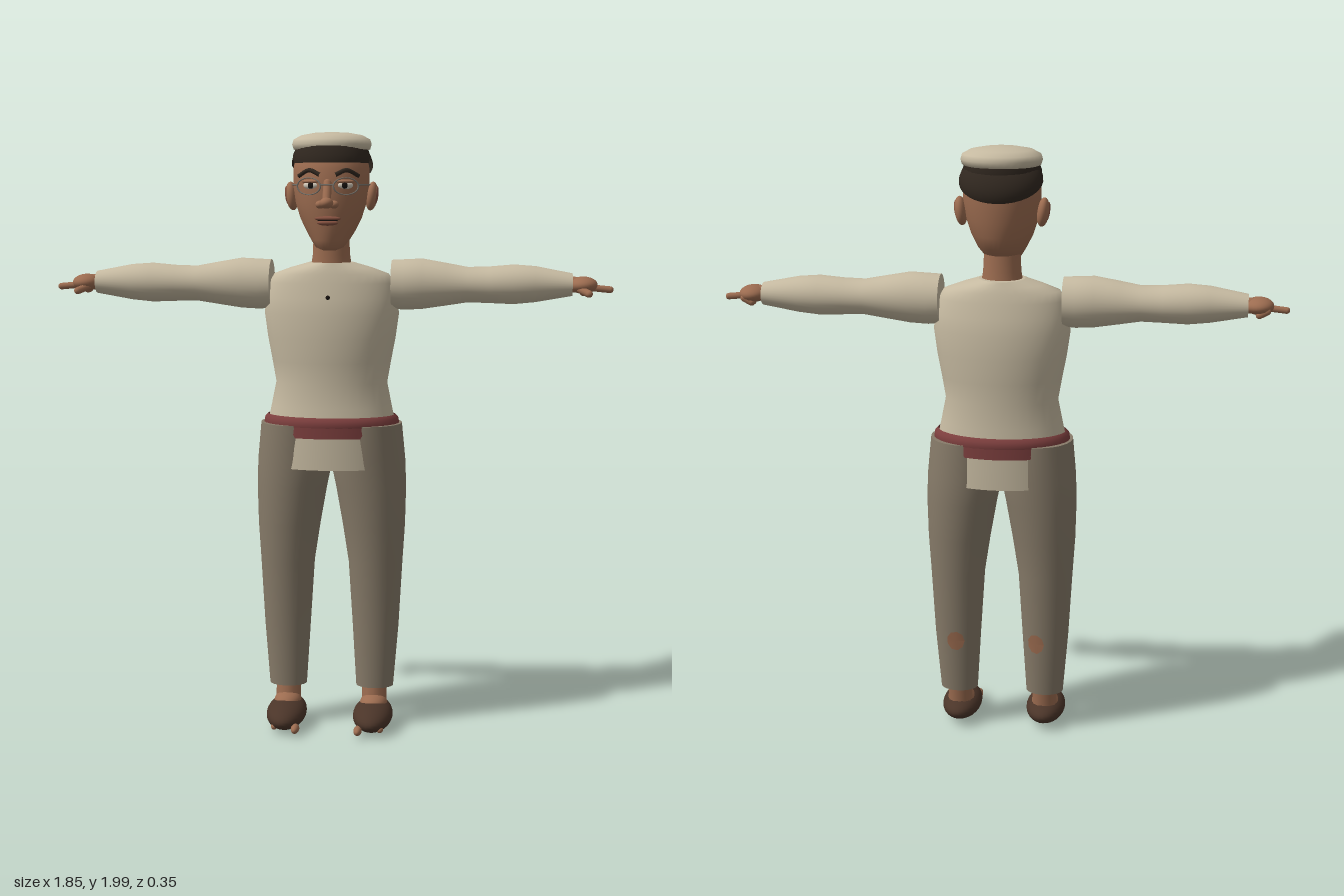
import * as THREE from 'three';

const mat = (name, color, side = THREE.FrontSide) => {
  const m = new THREE.MeshStandardMaterial({ color, side });
  m.name = name;
  return m;
};

export function createModel() {
  const root = new THREE.Group();
  root.name = 'standingMan';
  const cloth = mat('cream cloth', 0xc6baa1, THREE.DoubleSide);
  const trouser = mat('taupe trousers', 0x877b69, THREE.DoubleSide);
  const skin = mat('brown skin', 0x9c6c50);
  const hair = mat('dark hair', 0x30271f, THREE.DoubleSide);
  const red = mat('red sash', 0x7d3f3e, THREE.DoubleSide);
  const leather = mat('dark leather', 0x4b3529);
  const lip = mat('lips', 0x83503f);
  const metal = mat('grey metal', 0x77726a);
  const white = mat('eye white', 0xd2c8b8);
  const black = mat('black', 0x17120f);

  const add = (name, geo, material, pos = [0, 0, 0], rot = [0, 0, 0], parent = root) => {
    const m = new THREE.Mesh(geo, material);
    m.name = name;
    m.position.set(...pos);
    m.rotation.set(...rot);
    parent.add(m);
    return m;
  };
  const blob = (name, material, pos, r, rot) =>
    add(name, new THREE.SphereGeometry(1, 28, 20).scale(...r), material, pos, rot);
  // Rounded rod between two points
  const rod = (name, material, a, b, r) => {
    const A = new THREE.Vector3(...a), B = new THREE.Vector3(...b), d = B.clone().sub(A);
    const m = add(name, new THREE.CapsuleGeometry(r, d.length(), 6, 12), material,
      A.clone().add(B).multiplyScalar(0.5).toArray());
    m.quaternion.setFromUnitVectors(new THREE.Vector3(0, 1, 0), d.normalize());
    return m;
  };

  // Skin over elliptical rings [y, cx, cz, rx, rz], optionally with flat ends
  const N = 36;
  function loft(rings, caps = true) {
    const pos = [], idx = [];
    for (const [y, cx, cz, rx, rz] of rings)
      for (let i = 0; i < N; i++) {
        const a = (i / N) * Math.PI * 2;
        pos.push(cx + rx * Math.sin(a), y, cz + rz * Math.cos(a));
      }
    for (let j = 0; j < rings.length - 1; j++)
      for (let i = 0; i < N; i++) {
        const a = j * N + i, b = j * N + ((i + 1) % N);
        idx.push(a, b, b + N, a, b + N, a + N);
      }
    if (caps) [0, rings.length - 1].forEach((j) => {
      const [y, cx, cz] = rings[j], base = pos.length / 3;
      pos.push(cx, y, cz);
      for (let i = 0; i < N; i++) pos.push(...pos.slice((j * N + i) * 3, (j * N + i) * 3 + 3));
      for (let i = 0; i < N; i++) {
        const a = base + 1 + i, b = base + 1 + ((i + 1) % N);
        idx.push(base, j ? a : b, j ? b : a);
      }
    });
    const g = new THREE.BufferGeometry();
    g.setAttribute('position', new THREE.Float32BufferAttribute(pos, 3));
    g.setIndex(idx);
    g.computeVertexNormals();
    return g;
  }

  // Head and neck
  add('head', loft([
    [1.618, 0, 0.045, 0.02, 0.02], [1.628, 0, 0.035, 0.045, 0.045], [1.65, 0, 0.01, 0.062, 0.078],
    [1.68, 0, -0.008, 0.08, 0.104], [1.72, 0, -0.012, 0.1, 0.114], [1.77, 0, -0.014, 0.116, 0.123],
    [1.83, 0, -0.017, 0.125, 0.124], [1.88, 0, -0.02, 0.125, 0.121], [1.92, 0, -0.025, 0.118, 0.112],
    [1.955, 0, -0.03, 0.095, 0.085], [1.97, 0, -0.03, 0.05, 0.045],
  ]), skin);
  add('neck', loft([[1.55, 0, -0.022, 0.07, 0.062], [1.6, 0, -0.02, 0.062, 0.056],
    [1.68, 0, -0.018, 0.058, 0.056]]), skin);
  add('hair', new THREE.SphereGeometry(1, 32, 16, 0, Math.PI * 2, 0, Math.PI / 2)
    .scale(0.134, 0.085, 0.122), hair, [0, 1.893, -0.05], [-0.5, 0, 0]);
  add('forelock', loft([[1.9, 0, -0.022, 0.123, 0.117], [1.925, 0, -0.025, 0.127, 0.12],
    [1.955, 0, -0.03, 0.115, 0.11]], false), hair);
  add('cap', loft([[1.937, 0, -0.035, 0.11, 0.1], [1.944, 0, -0.035, 0.126, 0.112],
    [1.96, 0, -0.035, 0.131, 0.116], [1.976, 0, -0.035, 0.126, 0.112],
    [1.99, 0, -0.035, 0.1, 0.09], [1.998, 0, -0.035, 0.055, 0.05], [2, 0, -0.035, 0.01, 0.01]]), cloth);

  // Nose and mouth
  rod('noseBridge', skin, [0, 1.835, 0.1], [0, 1.78, 0.132], 0.014);
  blob('noseTip', skin, [0, 1.772, 0.134], [0.022, 0.018, 0.027]);
  blob('upperLip', lip, [0, 1.722, 0.1], [0.043, 0.008, 0.014]);
  blob('lowerLip', lip, [0, 1.708, 0.1], [0.034, 0.009, 0.013]);
  blob('mouthLine', black, [0, 1.716, 0.102], [0.036, 0.002, 0.012]);
  rod('glassesBridge', metal, [-0.022, 1.83, 0.123], [0.022, 1.83, 0.123], 0.0025);

  // Torso
  const torso = [
    [1.04, 0, -0.025, 0.215, 0.135], [1.1, 0, -0.027, 0.202, 0.126], [1.18, 0, -0.029, 0.186, 0.12],
    [1.25, 0, -0.028, 0.198, 0.125], [1.33, 0, -0.028, 0.213, 0.128], [1.41, 0, -0.027, 0.224, 0.125],
    [1.46, 0, -0.026, 0.218, 0.116], [1.51, 0, -0.025, 0.208, 0.104], [1.54, 0, -0.024, 0.19, 0.096],
    [1.56, 0, -0.023, 0.135, 0.088], [1.577, 0, -0.022, 0.075, 0.08],
  ];
  add('shirt', loft(torso), cloth);
  blob('button', black, [0, 1.467, 0.095], [0.007, 0.007, 0.007]);

  // Sash around the waist
  add('sash', loft([[1.032, 0, -0.026, 0.222, 0.14], [1.042, 0, -0.026, 0.227, 0.147],
    [1.062, 0, -0.026, 0.224, 0.145], [1.073, 0, -0.026, 0.213, 0.134]], false), red);
  // Curved panel hanging from the waist, front (s = 1) or back (s = -1)
  const panel = (name, material, s, wTop, wBottom, yTop, yBottom, depth) => {
    const g = new THREE.PlaneGeometry(2, 1, 16, 2), p = g.attributes.position;
    for (let i = 0; i < p.count; i++) {
      const t = 0.5 - p.getY(i);
      const x = p.getX(i) * THREE.MathUtils.lerp(wTop, wBottom, t);
      p.setXYZ(i, s * x, THREE.MathUtils.lerp(yTop, yBottom, t),
        -0.026 + s * depth * Math.sqrt(1 - (x / 0.225) ** 2));
    }
    g.computeVertexNormals();
    add(name, g, material);
  };
  for (const s of [1, -1]) {
    const side = s > 0 ? 'front' : 'back';
    panel(side + 'ShirtTail', cloth, s, 0.095, 0.132, 1.045, 0.9, 0.141);
    panel(side + 'SashFold', red, s, 0.13, 0.108, 1.045, 1.005, 0.146);
  }

  for (const s of [1, -1]) {
    const n = (part) => (s > 0 ? 'left' : 'right') + part;

    // Ear, eye, brow, nostril and lens ring
    blob(n('Ear'), skin, [s * 0.132, 1.793, -0.03], [0.02, 0.047, 0.032], [0, 0, s * -0.12]);
    blob(n('EarHollow'), lip, [s * 0.147, 1.795, -0.026], [0.007, 0.03, 0.017], [0, 0, s * -0.12]);
    blob(n('Eye'), white, [s * 0.055, 1.828, 0.089], [0.027, 0.013, 0.012], [0, s * 0.35, 0]);
    blob(n('Iris'), black, [s * 0.055, 1.828, 0.097], [0.011, 0.011, 0.006], [0, s * 0.35, 0]);
    blob(n('Eyelid'), skin, [s * 0.055, 1.84, 0.088], [0.031, 0.007, 0.015], [0, s * 0.35, 0]);
    const brow = new THREE.CatmullRomCurve3([[0.025, 1.861, 0.102], [0.06, 1.876, 0.09],
      [0.097, 1.858, 0.062]].map(([x, y, z]) => new THREE.Vector3(s * x, y, z)));
    add(n('Eyebrow'), new THREE.TubeGeometry(brow, 12, 0.007, 8), hair);
    blob(n('Nostril'), skin, [s * 0.022, 1.767, 0.115], [0.016, 0.013, 0.017]);
    add(n('LensRing'), new THREE.TorusGeometry(0.042, 0.0028, 8, 32).scale(1, 0.64, 1),
      metal, [s * 0.06, 1.825, 0.108], [0, s * 0.38, 0]);
    rod(n('GlassesArm'), metal, [s * 0.1, 1.83, 0.092], [s * 0.128, 1.83, -0.02], 0.0025);

    // Sleeve, lofted upright and laid along x
    const sleeve = [[0.2, 1.505, 0.08, 0.08], [0.24, 1.504, 0.083, 0.083], [0.3, 1.507, 0.083, 0.081],
      [0.38, 1.506, 0.07, 0.073], [0.45, 1.505, 0.058, 0.067], [0.52, 1.505, 0.06, 0.069],
      [0.6, 1.507, 0.065, 0.073], [0.67, 1.508, 0.059, 0.064], [0.79, 1.507, 0.037, 0.046]];
    add(n('Sleeve'), loft(sleeve.map(([x, y, ry, rz]) => [x, -s * y, -0.027, ry, rz]))
      .rotateZ(-s * Math.PI / 2), cloth);

    // Hand with one long finger and curled fingers
    rod(n('Wrist'), skin, [s * 0.76, 1.507, -0.025], [s * 0.8, 1.507, -0.024], 0.026);
    blob(n('Palm'), skin, [s * 0.825, 1.506, -0.022], [0.047, 0.028, 0.056]);
    rod(n('IndexFinger'), skin, [s * 0.85, 1.498, -0.015], [s * 0.912, 1.492, -0.017], 0.011);
    rod(n('Thumb'), skin, [s * 0.815, 1.493, 0.015], [s * 0.842, 1.481, 0.042], 0.012);
    for (const z of [-0.036, -0.056])
      rod(n('CurledFinger'), skin, [s * 0.85, 1.495, z], [s * 0.826, 1.482, z], 0.012);

    // Trouser leg
    const leg = [[0.14, 0.148, -0.025, 0.063, 0.051], [0.35, 0.15, -0.032, 0.078, 0.069],
      [0.57, 0.149, -0.032, 0.091, 0.09], [0.7, 0.143, -0.032, 0.105, 0.105],
      [0.83, 0.133, -0.032, 0.118, 0.118], [0.92, 0.122, -0.03, 0.126, 0.124],
      [1.045, 0.118, -0.026, 0.118, 0.128]].map(([y, cx, ...r]) => [y, s * cx, ...r]);
    add(n('TrouserLeg'), loft(leg), trouser);

    // Worn hole on the calf, laid over the trouser surface
    const hole = new THREE.CircleGeometry(1, 9), p = hole.attributes.position;
    const facing = s > 0 ? 0 : -0.35;
    for (let i = 0; i < p.count; i++) {
      const y = 0.335 + p.getY(i) * 0.036, t = (y - 0.14) / 0.21;
      const a = Math.PI + facing + p.getX(i) * 0.38;
      const rx = THREE.MathUtils.lerp(0.063, 0.078, t) + 0.004;
      const rz = THREE.MathUtils.lerp(0.051, 0.069, t) + 0.004;
      p.setXYZ(i, s * THREE.MathUtils.lerp(0.148, 0.15, t) + rx * Math.sin(a), y,
        THREE.MathUtils.lerp(-0.025, -0.032, t) + rz * Math.cos(a));
    }
    hole.computeVertexNormals();
    add(n('CalfHole'), hole, skin);

    // Ankle, shoe and toes
    rod(n('Ankle'), skin, [s * 0.147, 0.09, -0.015], [s * 0.147, 0.18, -0.027], 0.042);
    blob(n('Instep'), skin, [s * 0.147, 0.085, 0.005], [0.046, 0.032, 0.06]);
    blob(n('Shoe'), leather, [s * 0.147, 0.053, 0.035], [0.067, 0.046, 0.131], [0.05, 0, 0]);
    blob(n('BigToe'), skin, [s * 0.105, 0.029, 0.148], [0.014, 0.015, 0.03]);
    blob(n('SmallToe'), skin, [s * 0.178, 0.03, 0.128], [0.011, 0.012, 0.018]);
  }
  return root;
}
